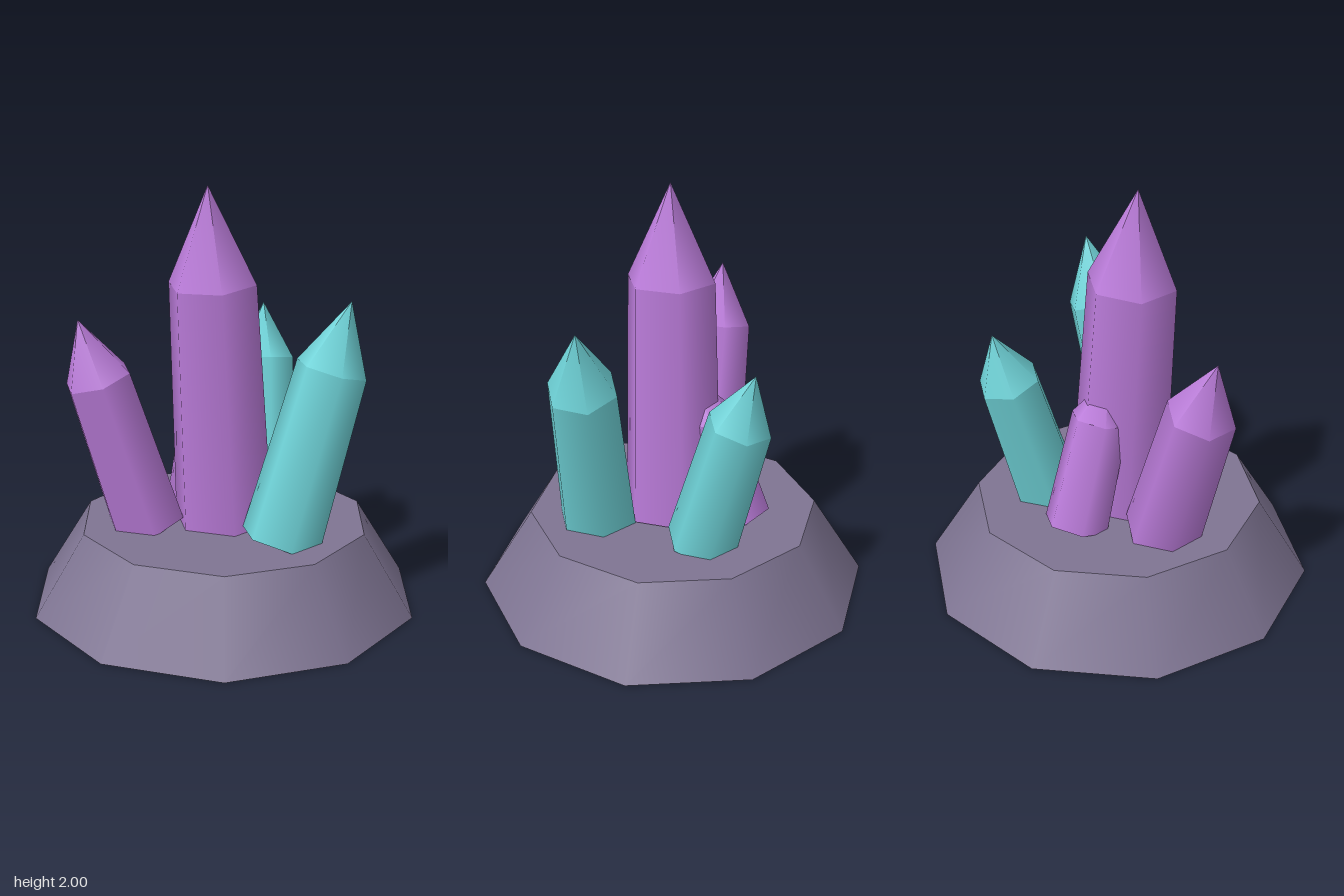
import * as THREE from 'three';

const material = (name, color) => {
  const m = new THREE.MeshStandardMaterial({ color, side: THREE.DoubleSide });
  m.name = name;
  return m;
};

function part(name, geometry, mat) {
  const mesh = new THREE.Mesh(geometry, mat);
  mesh.name = name;
  return mesh;
}

// Open six-sided shaft with a slight taper and a pointed tip, leaning from foot to apex
function crystal(name, mat, foot, apex, radius) {
  const start = new THREE.Vector3(...foot);
  const axis = new THREE.Vector3(...apex).sub(start);
  const length = axis.length();
  const shaft = length * 0.72;
  const tip = length - shaft;
  const shoulder = radius * 0.88;
  const turn = Math.PI / 6;

  const group = new THREE.Group();
  group.name = name;
  group.add(
    part('shaft', new THREE.CylinderGeometry(shoulder, radius, shaft, 6, 1, true, turn)
      .translate(0, shaft / 2, 0), mat),
    part('tip', new THREE.ConeGeometry(shoulder, tip, 6, 1, true, turn)
      .translate(0, shaft + tip / 2, 0), mat)
  );
  group.position.copy(start);
  group.quaternion.setFromUnitVectors(new THREE.Vector3(0, 1, 0), axis.normalize());
  return group;
}

export function createModel() {
  const stone = material('grey violet stone', 0x7f7593);
  const purple = material('purple crystal', 0xba7bd9);
  const teal = material('teal crystal', 0x6fd3d8);
  const model = new THREE.Group();
  model.name = 'crystalCluster';

  // Hollow ten-sided rock base, open underneath
  const height = 0.39;
  model.add(
    part('baseWall', new THREE.CylinderGeometry(0.685, 0.925, height, 10, 1, true, Math.PI / 10)
      .translate(0, height / 2, 0), stone),
    part('baseTop', new THREE.CircleGeometry(0.685, 10)
      .rotateX(-Math.PI / 2).translate(0, height, 0), stone)
  );

  // Crystals: name, material, foot, apex, foot radius
  const crystals = [
    ['centreCrystal', purple, [0, 0.388, 0], [-0.05, 2, 0.08], 0.24],
    ['leaningPurpleCrystal', purple, [-0.33, 0.385, 0.15], [-0.59, 1.4, 0.32], 0.185],
    ['smallPurpleCrystal', purple, [-0.21, 0.385, -0.24], [-0.07, 1.085, -0.055], 0.155],
    ['sideTealCrystal', teal, [0.33, 0.385, 0.165], [0.59, 1.49, -0.04], 0.19],
    ['backTealCrystal', teal, [0.1, 0.385, -0.32], [0.02, 1.31, -0.575], 0.17],
  ];
  for (const c of crystals) model.add(crystal(...c));

  return model;
}
